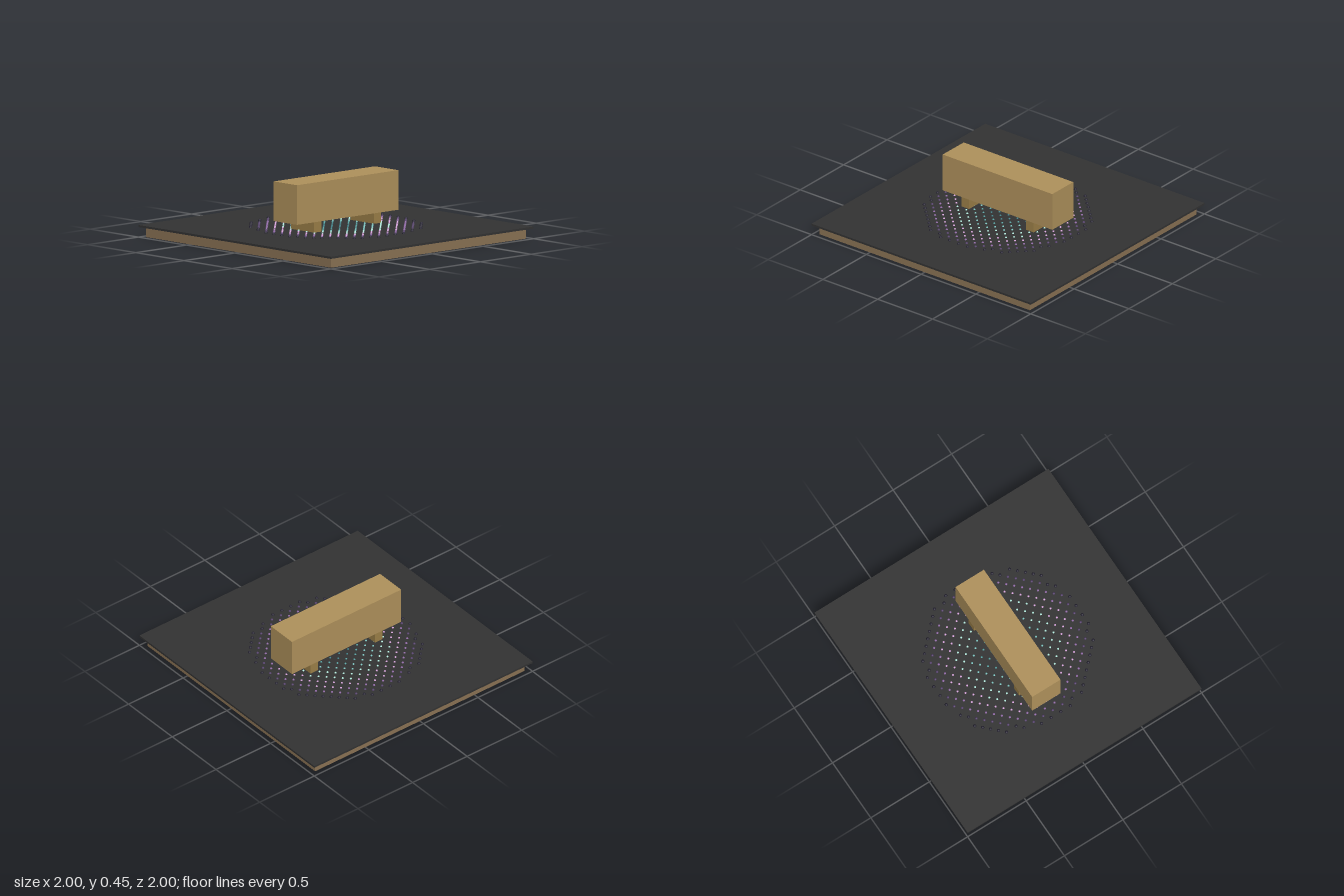
import * as THREE from 'three';
import { mergeGeometries } from 'three/addons/utils/BufferGeometryUtils.js';

const PLATE_TOP = 0.088;

function addBox(parent, name, color, [w, h, d], [x, bottom, z]) {
  const mesh = new THREE.Mesh(
    new THREE.BoxGeometry(w, h, d),
    new THREE.MeshStandardMaterial({ color })
  );
  mesh.name = name;
  mesh.position.set(x, bottom + h / 2, z);
  parent.add(mesh);
}

// Staggered grid of studs inside a circle, coloured in rings from the centre outwards
function createStuds() {
  const group = new THREE.Group();
  group.name = 'studs';
  const step = 0.041, count = 30, mid = (count - 1) / 2;
  const bands = [
    { limit: 0.12, color: 0x3f7f86, radius: 0.008 },
    { limit: 0.2, color: 0x559f9f, radius: 0.008 },
    { limit: 0.28, color: 0x7cc4c0, radius: 0.008 },
    { limit: 0.39, color: 0xb4ecdf, radius: 0.008 },
    { limit: 0.48, color: 0xd8a4dc, radius: 0.008 },
    { limit: 0.53, color: 0x8f68a4, radius: 0.009 },
    { limit: 0.575, color: 0x54406a, radius: 0.01 },
    { limit: 1, color: 0x272433, radius: 0.012 }
  ].map(band => ({ ...band, parts: [] }));

  for (let i = 0; i < count; i++) {
    for (let j = 0; j < count; j++) {
      const r2 = (i - mid) ** 2 + (j - mid) ** 2;
      if ((i + j) % 2 || r2 > 230) continue;
      const band = bands.find(b => Math.sqrt(r2) * step < b.limit);
      const stud = new THREE.SphereGeometry(band.radius, 10, 6);
      band.parts.push(stud.translate((i - mid) * step, PLATE_TOP, (j - mid) * step));
    }
  }
  bands.forEach((band, k) => {
    const mesh = new THREE.Mesh(
      mergeGeometries(band.parts),
      new THREE.MeshStandardMaterial({ color: band.color })
    );
    mesh.name = `studRing${k + 1}`;
    group.add(mesh);
  });
  return group;
}

export function createModel() {
  const model = new THREE.Group();
  model.name = 'blockOnStuddedPlatform';

  // Platform: wooden base under a thin overhanging plate
  addBox(model, 'base', 0x8b7355, [1.92, 0.073, 1.92], [0, 0, 0]);
  addBox(model, 'topPlate', 0x333333, [2, 0.015, 2], [0, 0.073, 0]);
  model.add(createStuds());

  // Long block raised on two feet
  addBox(model, 'block', 0xb0925c, [1, 0.287, 0.242], [0, 0.163, 0]);
  for (const side of [1, -1]) {
    addBox(model, side > 0 ? 'leftFoot' : 'rightFoot', 0x9c8048,
      [0.07, 0.163 - PLATE_TOP, 0.242], [side * 0.295, PLATE_TOP, 0]);
  }
  return model;
}
